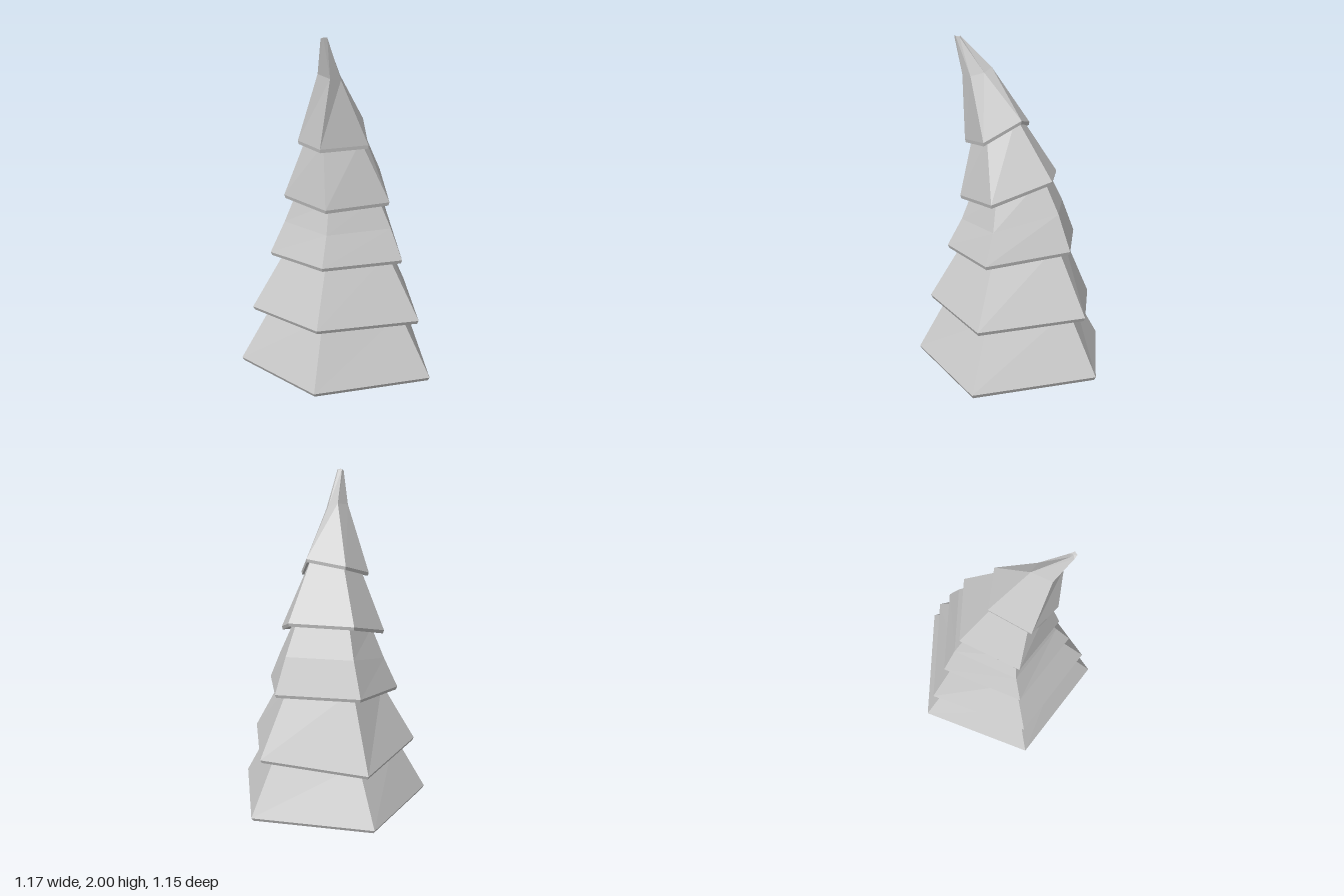
import * as THREE from 'three';

// Rim corners of each tier, counterclockwise from the front corner: x, y, z
const RIMS = [
  [[0.05, 0.02, 0.575], [0.585, 0.06, 0.08], [0.28, 0.06, -0.58], [-0.44, 0.02, -0.5], [-0.585, 0.06, 0.215]],
  [[0.04, 0.365, 0.495], [0.505, 0.405, 0.07], [0.245, 0.365, -0.51], [-0.39, 0.36, -0.44], [-0.515, 0.405, 0.18]],
  [[0.025, 0.72, 0.38], [0.39, 0.78, 0.045], [0.185, 0.79, -0.41], [-0.31, 0.71, -0.355], [-0.41, 0.735, 0.135]],
  [[0.01, 1.06, 0.295], [0.265, 1.18, 0.04], [0.11, 1.18, -0.31], [-0.26, 1.07, -0.28], [-0.335, 1.05, 0.1]],
  [[-0.09, 1.4, 0.215], [0.07, 1.52, 0.055], [-0.005, 1.49, -0.17], [-0.265, 1.41, -0.16], [-0.325, 1.39, 0.055]],
].map(toRing);
const TIP_BEND = toRing([[-0.23, 1.77, 0.13], [-0.17, 1.79, 0.075], [-0.165, 1.82, 0], [-0.285, 1.8, 0.01], [-0.3, 1.78, 0.11]]);

function toRing(points) {
  return points.map((p) => new THREE.Vector3(...p));
}

function centreOf(ring) {
  return ring.reduce((sum, p) => sum.add(p), new THREE.Vector3()).divideScalar(ring.length);
}

// Ring shrunk sideways towards its centre and moved up by dy
function inset(ring, scale, dy) {
  const c = centreOf(ring);
  return ring.map((p) => new THREE.Vector3(c.x + (p.x - c.x) * scale, p.y + dy, c.z + (p.z - c.z) * scale));
}

// Closed faceted skin over rings listed along the surface from the underside to the top
function skin(rings) {
  const pos = [];
  const tri = (...corners) => corners.forEach((p) => pos.push(p.x, p.y, p.z));
  const n = rings[0].length;
  const bottom = rings[0], top = rings[rings.length - 1];
  const low = centreOf(bottom), high = centreOf(top);
  for (let i = 0; i < n; i++) {
    const j = (i + 1) % n;
    for (let r = 0; r < rings.length - 1; r++) {
      const a = rings[r], b = rings[r + 1];
      tri(a[i], a[j], b[j]);
      tri(a[i], b[j], b[i]);
    }
    tri(bottom[j], bottom[i], low);
    tri(top[i], top[j], high);
  }
  const geometry = new THREE.BufferGeometry();
  geometry.setAttribute('position', new THREE.Float32BufferAttribute(pos, 3));
  geometry.computeVertexNormals();
  return geometry;
}

export function createModel() {
  const group = new THREE.Group();
  group.name = 'bentFirTree';
  const material = new THREE.MeshStandardMaterial({ color: 0xcccccc, flatShading: true });

  RIMS.forEach((rim, k) => {
    // hollow underside, thin rim band, then the sloping branches
    const lip = inset(rim, 0.98, -0.02);
    const hollow = inset(rim, 0.26, 0).map((p) => p.setY(centreOf(rim).y + 0.08));
    const rings = [hollow, lip, rim];
    if (k < RIMS.length - 1) {
      // the branches end just inside the next tier
      const top = inset(RIMS[k + 1], 0.77, 0.02);
      if (k === 2) {
        // slight waist halfway up the middle tier
        rings.push(rim.map((p, i) => p.clone().lerp(top[i], 0.5).add(new THREE.Vector3(0.012, 0, -0.003))));
      }
      rings.push(top);
    } else {
      // bent tip with a tiny flat end
      const end = rim.map((_, i) => {
        const a = 0.1 + (i * Math.PI * 2) / 5;
        return new THREE.Vector3(-0.337 + 0.018 * Math.sin(a), 2 - 0.006 * (i % 2), 0.102 + 0.02 * Math.cos(a));
      });
      rings.push(TIP_BEND, end);
    }
    const mesh = new THREE.Mesh(skin(rings), material);
    mesh.name = k < RIMS.length - 1 ? `branchTier${k + 1}` : 'bentTip';
    group.add(mesh);
  });
  return group;
}
